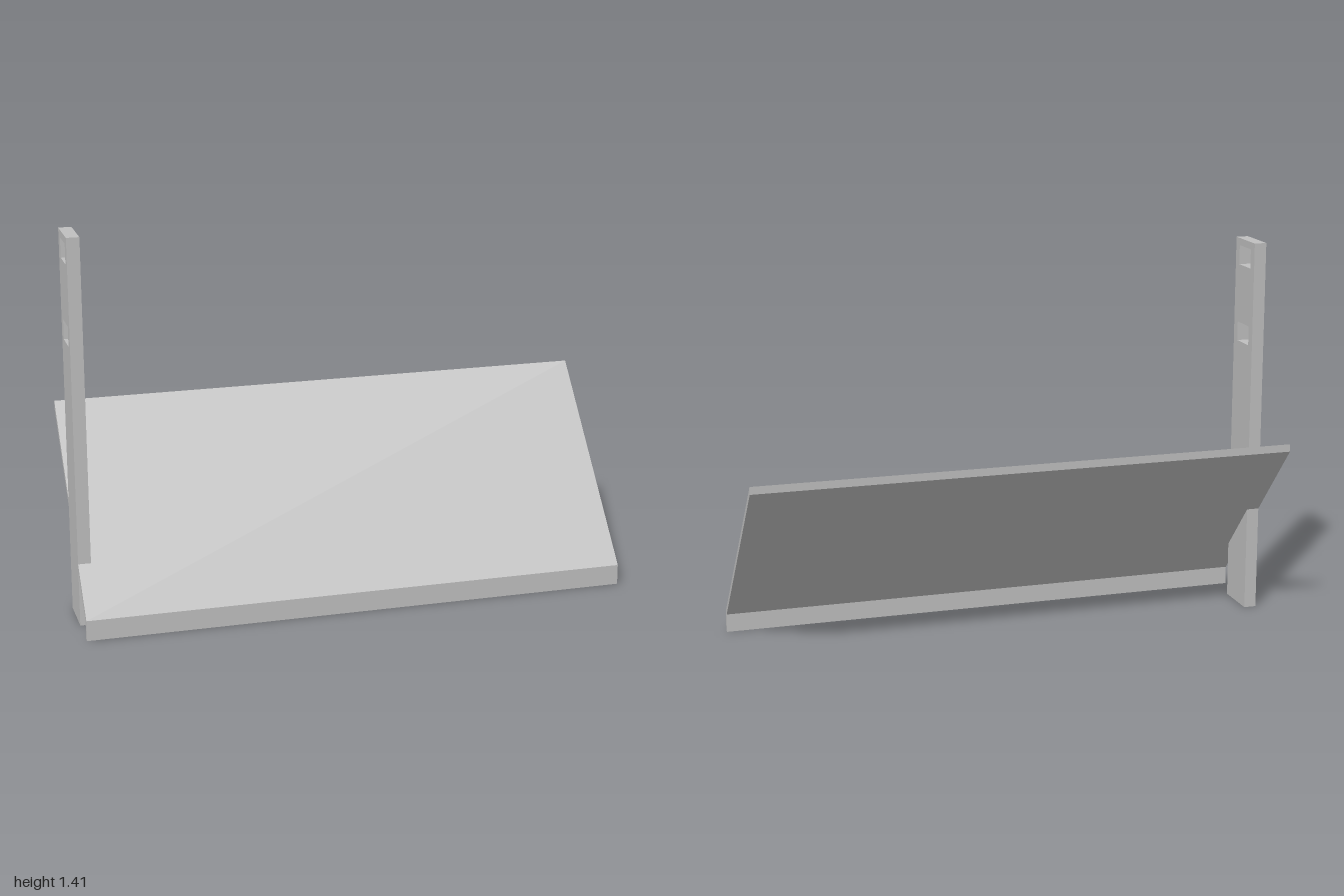
import * as THREE from 'three';

const steel = new THREE.MeshStandardMaterial({ color: 0xbfbfbf });
steel.name = 'grey steel';

const toPoints = (list) => list.map(([z, y]) => new THREE.Vector2(z, y));
const rect = (z0, z1, y0, y1) => toPoints([[z0, y0], [z1, y0], [z1, y1], [z0, y1]]);

// Extrudes a side profile given in (z, y) across the span x0..x1
function sidePart(name, outline, holes, x0, x1) {
  const shape = new THREE.Shape(outline);
  for (const h of holes) shape.holes.push(new THREE.Path(h));
  const geometry = new THREE.ExtrudeGeometry(shape, { depth: x1 - x0, bevelEnabled: false });
  geometry.rotateY(-Math.PI / 2);
  geometry.translate(x1, 0, 0);
  const mesh = new THREE.Mesh(geometry, steel);
  mesh.name = name;
  return mesh;
}

export function createModel() {
  const model = new THREE.Group();
  model.name = 'slopedPlateWithPost';

  // Sloped plate with a short vertical lip folded down at the front
  const profile = toPoints([
    [0.294, 0], [0.294, 0.075], [-0.292, 0.71],
    [-0.292, 0.682], [0.275, 0.068], [0.275, 0],
  ]);
  model.add(sidePart('slopedPlate', profile, [], -1, 1));

  // Upright post through the plate's edge, with two rectangular slots
  const slots = [1.022, 1.313].map((y) => rect(0.011, 0.115, y, y + 0.072));
  model.add(sidePart('post', rect(-0.024, 0.148, 0, 1.412), slots, -1, -0.954));

  return model;
}
